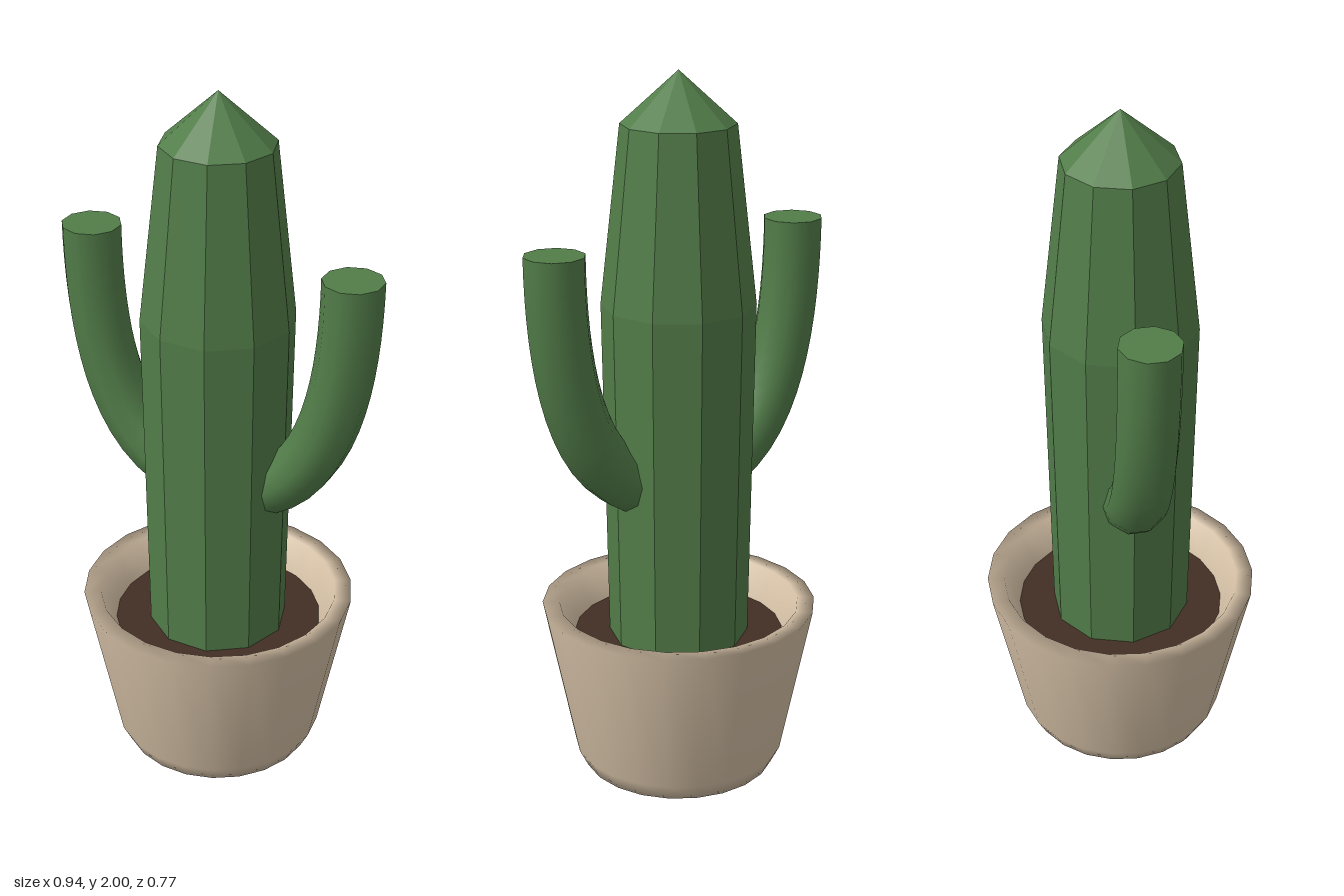
import * as THREE from 'three';

const cactusGreen = new THREE.MeshStandardMaterial({ color: 0x527d49 });
const potClay = new THREE.MeshStandardMaterial({ color: 0xd0bca2 });
const soilBrown = new THREE.MeshStandardMaterial({ color: 0x422e24 });

const POT_SIDES = 22, BODY_SIDES = 10, ARM_SIDES = 10, ARM_RADIUS = 0.083;

function lathe(profile, sides) {
  const points = profile.map(([r, y]) => new THREE.Vector2(r, y));
  return new THREE.LatheGeometry(points, sides, Math.PI / 2);
}

function addMesh(parent, name, geometry, material) {
  const mesh = new THREE.Mesh(geometry, material);
  mesh.name = name;
  parent.add(mesh);
  return mesh;
}

// Curved arm rising from the body, closed with a flat top
function createArm(name, side) {
  const arm = new THREE.Group();
  arm.name = name;
  const path = new THREE.QuadraticBezierCurve3(
    new THREE.Vector3(side * 0.15, 0.88, 0),
    new THREE.Vector3(side * 0.39, 1.0, 0),
    new THREE.Vector3(side * 0.39, 1.56, 0)
  );
  addMesh(arm, name + 'Stem', new THREE.TubeGeometry(path, 14, ARM_RADIUS, ARM_SIDES), cactusGreen);
  const cap = new THREE.CircleGeometry(ARM_RADIUS, ARM_SIDES, Math.PI / 2).rotateX(-Math.PI / 2);
  addMesh(arm, name + 'Top', cap, cactusGreen).position.set(side * 0.39, 1.56, 0);
  return arm;
}

export function createModel() {
  const model = new THREE.Group();
  model.name = 'pottedCactus';

  // Smooth tapered pot with a thick rim and an inner wall
  const pot = lathe([[0, 0], [0.277, 0], [0.302, 0.05], [0.39, 0.49], [0.342, 0.49], [0.298, 0.4]], POT_SIDES);
  addMesh(model, 'pot', pot, potClay);

  // Soil disc
  const soil = new THREE.CircleGeometry(0.298, POT_SIDES).rotateX(-Math.PI / 2);
  addMesh(model, 'soil', soil, soilBrown).position.y = 0.4;

  // Faceted body with a pointed tip
  const body = lathe([[0.198, 0.38], [0.212, 1.37], [0.156, 1.86], [0, 2]], BODY_SIDES).toNonIndexed();
  body.computeVertexNormals();
  addMesh(model, 'body', body, cactusGreen);

  // Mirrored arms
  model.add(createArm('leftArm', 1), createArm('rightArm', -1));
  return model;
}
